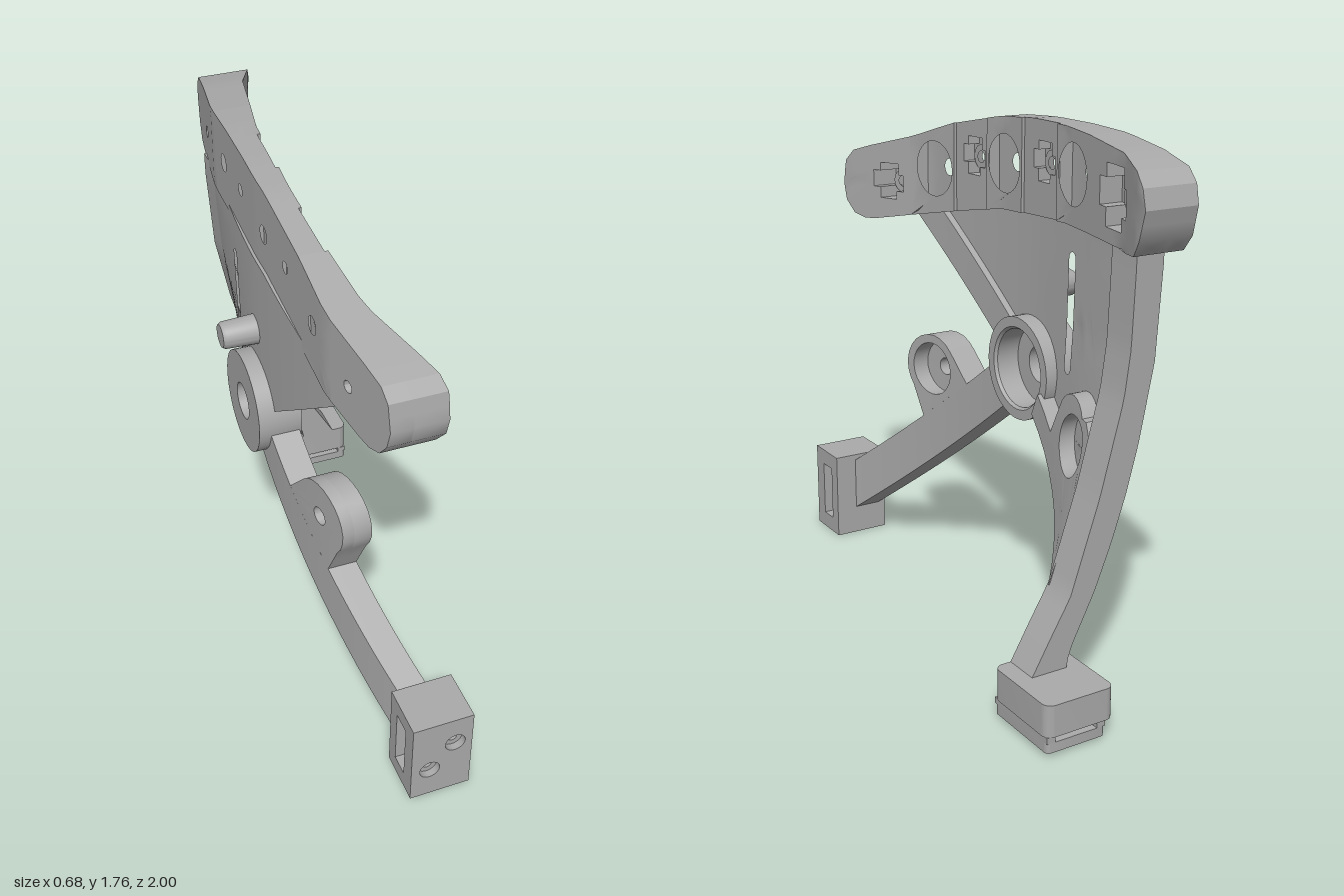
import * as THREE from 'three';
import { mergeGeometries, toCreasedNormals } from 'three/addons/utils/BufferGeometryUtils.js';

const grey = new THREE.MeshStandardMaterial({ color: 0xaaaaaa });
grey.name = 'plain grey';

// piecewise linear lookup, table ordered by rising key
const table = (rows) => (v) => {
  if (v <= rows[0][0]) return rows[0][1];
  for (let i = 1; i < rows.length; i++) {
    const [a, p] = rows[i - 1], [b, q] = rows[i];
    if (v <= b) return p + (q - p) * (v - a) / (b - a);
  }
  return rows[rows.length - 1][1];
};
const path = (pts, Type = THREE.Path) => new Type(pts.map(([z, y]) => new THREE.Vector2(-z, y)));
const circle = (z, y, r) => new THREE.Path().absarc(-z, y, r, 0, Math.PI * 2, true);
const arc = (z, y, r, a0, a1, n = 12) => Array.from({ length: n + 1 }, (_, i) => {
  const a = (a0 + (a1 - a0) * i / n) * Math.PI / 180;
  return [z + r * Math.cos(a), y + r * Math.sin(a)];
});

// plate outlined by [z, y] points, split finely and bent between two surfaces back(y, z) and front(y, z)
function bentPlate(pts, holes, back, front, maxLen = 0.08) {
  const shape = path(pts, THREE.Shape);
  shape.holes = holes;
  const D = 0.05;
  const flat = new THREE.ExtrudeGeometry(shape, { depth: D, bevelEnabled: false, curveSegments: 16 });
  const src = (flat.index ? flat.toNonIndexed() : flat).attributes.position;
  const out = [], v = (i) => new THREE.Vector3().fromBufferAttribute(src, i);
  const split = (a, b, c) => {
    const l = [a.distanceTo(b), b.distanceTo(c), c.distanceTo(a)], m = Math.max(...l);
    if (m <= maxLen) { out.push(a, b, c); return; }
    if (m === l[1]) [a, b, c] = [b, c, a];
    else if (m === l[2]) [a, b, c] = [c, a, b];
    const mid = a.clone().add(b).multiplyScalar(0.5);
    split(a, mid, c);
    split(mid, b, c);
  };
  for (let i = 0; i < src.count; i += 3) split(v(i), v(i + 1), v(i + 2));
  const geo = new THREE.BufferGeometry().setFromPoints(out.map((p) => {
    const y = p.y, z = -p.x, u = p.z / D, b = back(y, z), x = b + (front(y, z) - b) * u;
    return new THREE.Vector3(x, y, z);
  }));
  return toCreasedNormals(geo, 0.5);
}

// turned part around an axis parallel to x; profile is [radius, x]
function turned(profile, y, z) {
  const geo = new THREE.LatheGeometry(profile.map(([r, x]) => new THREE.Vector2(r, x)), 40);
  geo.rotateZ(-Math.PI / 2).translate(0, y, z);
  return toCreasedNormals(geo, 0.5);
}
const box = (x0, x1, y0, y1, z0, z1) => new THREE.BoxGeometry(x1 - x0, y1 - y0, z1 - z0)
  .translate((x0 + x1) / 2, (y0 + y1) / 2, (z0 + z1) / 2).toNonIndexed();

export function createModel() {
  const model = new THREE.Group();
  const add = (name, ...geos) => {
    const clean = geos.map((g) => {
      const n = g.index ? g.toNonIndexed() : g;
      n.deleteAttribute('uv');
      return n;
    });
    const mesh = new THREE.Mesh(mergeGeometries(clean), grey);
    mesh.name = name;
    model.add(mesh);
  };

  // curved top beam, built in sections with round recesses and stepped pockets
  const beamBack = table([[-1, -0.13], [-0.6, -0.195], [-0.1, -0.21], [0.5, -0.2], [0.83, -0.13]]);
  const beamFront = table([[-0.97, 0.055], [-0.8, -0.02], [-0.6, -0.06], [-0.4, -0.1], [0, -0.125],
    [0.3, -0.11], [0.5, -0.08], [0.82, 0.05]]);
  const level = (u) => (y, z) => beamBack(z) + (beamFront(z) - beamBack(z)) * u;
  const top = table([[-0.57, 1.75], [-0.4, 1.757], [-0.2, 1.757], [0, 1.745], [0.3, 1.69], [0.53, 1.62]]);
  const bottom = table([[-0.57, 1.455], [-0.4, 1.455], [0, 1.435], [0.3, 1.38], [0.53, 1.335]]);
  const section = (z0, z1) => {
    const zs = [0, 0.25, 0.5, 0.75, 1].map((t) => z0 + (z1 - z0) * t);
    return [...zs.map((z) => [z, top(z)]), ...zs.reverse().map((z) => [z, bottom(z)])];
  };
  const frontEnd = [[0.53, 1.62], [0.7, 1.575], [0.78, 1.55], [0.815, 1.51], [0.83, 1.42], [0.815, 1.36],
    [0.78, 1.315], [0.73, 1.3], [0.68, 1.305], [0.53, 1.335]];
  const backEnd = [[-0.57, 1.455], [-0.85, 1.45], [-0.93, 1.46], [-0.975, 1.51], [-1, 1.6], [-0.985, 1.66],
    [-0.94, 1.7], [-0.8, 1.728], [-0.57, 1.75]];
  const step = [[-0.04, 0.07], [0.04, 0.07], [0.04, 0.04], [0.07, 0.04], [0.07, -0.02], [0.04, -0.02],
    [0.04, -0.06], [-0.03, -0.06], [-0.03, -0.03], [-0.06, -0.03], [-0.06, 0.03], [-0.04, 0.03]];
  const beam = [];
  const beamSection = (pts, z, y, pocket, face) => {
    const recess = pocket ? path(step.map(([a, b]) => [z + a * pocket, y + b * pocket])) : circle(z, y, 0.098);
    const small = pocket ? 0.02 : 0.03;
    beam.push(bentPlate(pts, [circle(z, y, small)], level(0), level(0.4)));
    beam.push(bentPlate(pts, [recess], level(0.4), level(face)));
    // raised ring around the screw hole
    if (pocket) beam.push(bentPlate(arc(z, y, 0.042, 0, 345, 23), [circle(z, y, 0.02)], level(0.4), level(0.6)));
  };
  beamSection(frontEnd, 0.62, 1.445, 1, 1);
  beamSection(section(0.53, 0.29), 0.4, 1.52, 0, 1);
  beamSection(section(0.29, 0.09), 0.175, 1.585, 1, 0.88);
  beamSection(section(0.09, -0.13), -0.02, 1.59, 0, 1);
  beamSection(section(-0.13, -0.35), -0.26, 1.62, 1, 0.88);
  beamSection(section(-0.35, -0.57), -0.46, 1.615, 0, 1);
  beamSection(backEnd, -0.75, 1.585, 1.45, 1);
  add('topBeam', ...beam);

  // curved rear post
  const postBack = table([[0.16, 0.15], [0.22, 0.14], [0.3, 0.1], [0.4, 0.05], [0.55, -0.01], [0.7, -0.06],
    [0.85, -0.1], [1.1, -0.15], [1.4, -0.17]]);
  const postFront = table([[0.16, 0.28], [0.3, 0.2], [0.4, 0.14], [0.55, 0.09], [0.7, 0.04], [0.85, 0],
    [1, -0.04], [1.15, -0.06], [1.4, -0.07]]);
  add('rearPost', bentPlate([[-0.69, 0.16], [-0.69, 1.47], [-0.81, 1.47], [-0.81, 0.16]], [], postBack, postFront));

  // bowed panel with a long slot
  const bow = (y, z) => {
    if (z > -0.1) return -0.22 + 0.1 * (z + 0.1) ** 2;
    return -0.22 + (postBack(y) + 0.22) * (Math.min(1, (-0.1 - z) / 0.6)) ** 1.5;
  };
  const raise = (t) => (y, z) => bow(y, z) + t;
  const slot = path([...arc(-0.35, 1.325, 0.02, 0, 180, 8), ...arc(-0.35, 0.96, 0.02, 180, 360, 8)]);
  add('panel', bentPlate([[0.5, 1.36], [0.3, 1.41], [0, 1.46], [-0.4, 1.48], [-0.7, 1.48], [-0.7, 0.4],
    [-0.21, 0.77], [-0.25, 0.83], [-0.26, 0.9], [-0.24, 0.98], [-0.19, 1.03], [-0.1, 1.06], [0, 1.03]],
  [slot, circle(-0.55, 0.775, 0.032)], bow, raise(0.035)));

  // thick diagonal rib from hub to beam
  add('upperArm', bentPlate([[0.57, 1.34], [0.43, 1.38], [-0.01, 1.05], [0.055, 0.95]], [], bow, raise(0.06)));

  // lower rear arm with rounded boss
  add('lowerRearArm', bentPlate([[-0.21, 0.77], [-0.7, 0.4], [-0.7, 0.83], [-0.64, 0.88],
    ...arc(-0.52, 0.83, 0.1, 150, 35, 8).map(([z, y]) => [z, Math.max(y, 0.86)]), [-0.37, 0.76], [-0.25, 0.85]],
  [circle(-0.55, 0.775, 0.098)], raise(0.03), raise(0.095)));

  // front leg with rounded ear
  const leg = (t) => (y, z) => -0.24 + 0.21 * (z + 0.1) ** 2 + t;
  const legOutline = [[0.06, 0.88], [0.22, 0.76], ...arc(0.41, 0.775, 0.13, 140, -40), [0.46, 0.58],
    [0.83, 0.3], [0.83, 0.1], [-0.01, 0.745]];
  add('frontLeg', bentPlate(legOutline, [circle(0.41, 0.775, 0.032)], leg(0), leg(0.04)),
    bentPlate(legOutline, [circle(0.41, 0.775, 0.098)], leg(0.04), leg(0.1)));

  // central hub with deep counterbore, and the peg behind the panel
  add('hub', turned([[0.065, -0.275], [0.18, -0.275], [0.18, -0.125], [0.145, -0.125], [0.137, -0.135],
    [0.137, -0.22], [0.065, -0.22], [0.065, -0.275]], 0.9, -0.1));
  add('peg', turned([[0, -0.34], [0.04, -0.34], [0.046, -0.33], [0.052, -0.2], [0, -0.2]], 1.18, -0.11));

  // front foot block: slotted body and a screw plate
  const wall = (r, z0, z1) => {
    const s = new THREE.Shape([[-0.09, 0], [0.12, 0], [0.12, 0.33], [-0.09, 0.33]].map((p) => new THREE.Vector2(...p)));
    for (const [x, y] of [[0.06, 0.22], [-0.025, 0.12]]) s.holes.push(new THREE.Path().absarc(x, y, r, 0, Math.PI * 2, true));
    return new THREE.ExtrudeGeometry(s, { depth: z1 - z0, bevelEnabled: false, curveSegments: 16 }).translate(0, 0, z0);
  };
  add('frontFoot', wall(0.035, 0.975, 1), wall(0.016, 0.94, 0.975), box(-0.09, 0.12, 0, 0.33, 0.82, 0.87),
    box(-0.09, 0.12, 0, 0.06, 0.87, 0.94), box(-0.09, 0.12, 0.27, 0.33, 0.87, 0.94));

  // rear foot: rounded cap, narrow neck and sole with screw holes
  const slab = (x0, x1, z0, z1, y0, y1, r, holes = []) => {
    const s = new THREE.Shape();
    const k = Math.PI / 2;
    s.absarc(x1 - r, -z0 - r, r, 0, k).absarc(x0 + r, -z0 - r, r, k, 2 * k);
    s.absarc(x0 + r, -z1 + r, r, 2 * k, 3 * k).absarc(x1 - r, -z1 + r, r, 3 * k, 4 * k);
    for (const [x, z] of holes) s.holes.push(new THREE.Path().absarc(x, -z, 0.02, 0, Math.PI * 2, true));
    const g = new THREE.ExtrudeGeometry(s, { depth: y1 - y0, bevelEnabled: false, curveSegments: 6 });
    return toCreasedNormals(g.rotateX(-Math.PI / 2).translate(0, y0, 0), 0.5);
  };
  add('rearFoot', slab(0.09, 0.335, -0.98, -0.69, 0.065, 0.17, 0.03), slab(0.14, 0.29, -0.95, -0.72, 0.045, 0.065, 0.01),
    slab(0.12, 0.33, -0.975, -0.69, 0.012, 0.045, 0.015, [[0.18, -0.76], [0.27, -0.9]]),
    box(0.12, 0.15, 0.045, 0.065, -0.975, -0.93), box(0.3, 0.33, 0.045, 0.065, -0.975, -0.69));
  return model;
}
